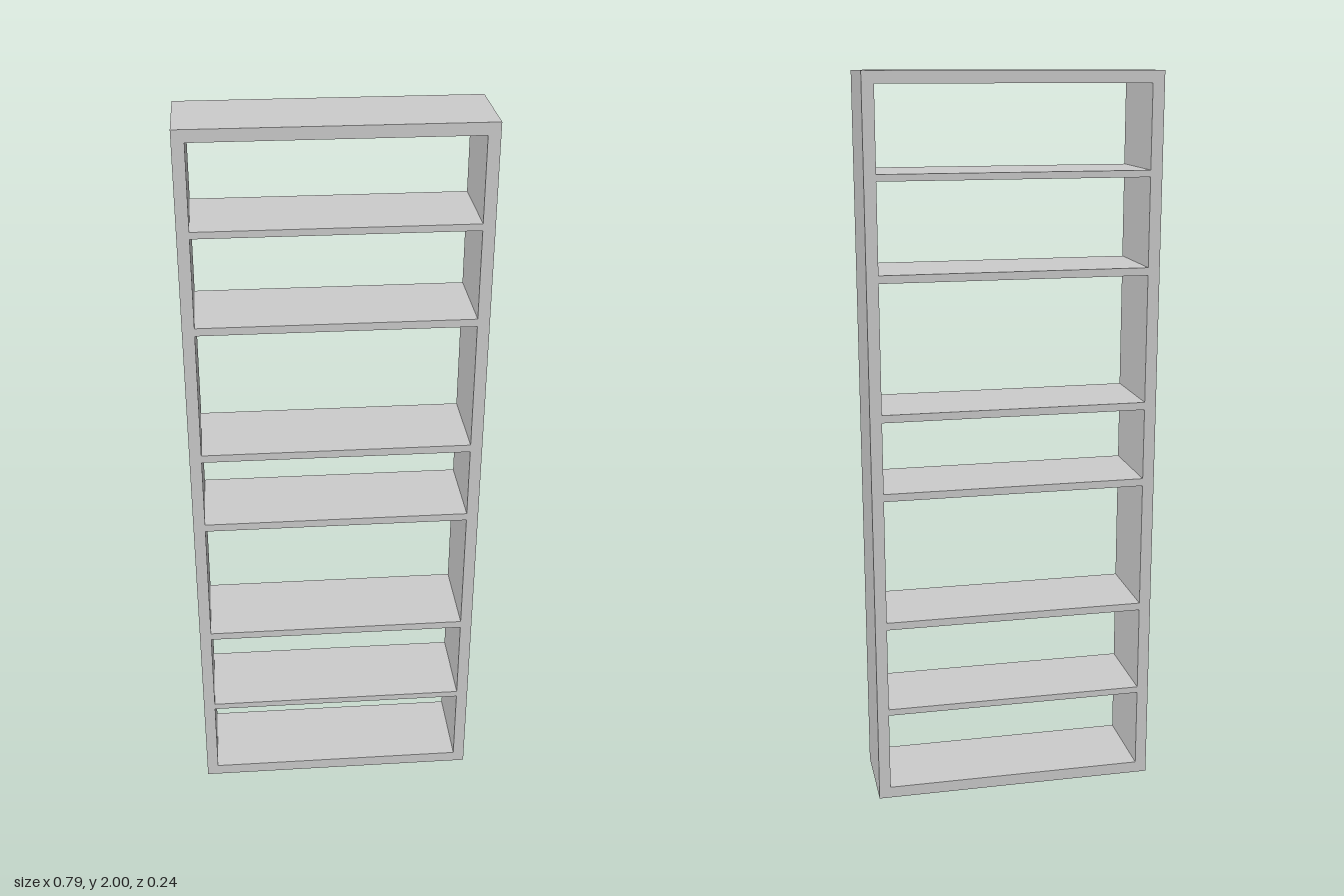
import * as THREE from 'three';

export function createModel() {
  const model = new THREE.Group();
  model.name = 'shelfUnit';
  const material = new THREE.MeshStandardMaterial({ color: 0xcccccc });

  const width = 0.787, height = 2, depth = 0.243, board = 0.032;
  const innerWidth = width - 2 * board;

  function addBoard(name, w, h, x, y) {
    const mesh = new THREE.Mesh(new THREE.BoxGeometry(w, h, depth), material);
    mesh.name = name;
    mesh.position.set(x, y, 0);
    model.add(mesh);
  }

  // Outer frame: two full-height sides with top and bottom boards between them
  for (const [side, s] of [['left', 1], ['right', -1]]) {
    addBoard(side + 'Side', board, height, s * (width - board) / 2, height / 2);
  }
  addBoard('bottomBoard', innerWidth, board, 0, board / 2);
  addBoard('topBoard', innerWidth, board, 0, height - board / 2);

  // Shelves, mirrored about mid-height; the outermost pair is made of two halves
  for (const [end, s] of [['upper', 1], ['lower', -1]]) {
    addBoard(end + 'InnerShelf', innerWidth, 0.021, 0, 1 + s * 0.109);
    addBoard(end + 'MiddleShelf', innerWidth, 0.021, 0, 1 + s * 0.479);
    for (const [half, h] of [['Left', 1], ['Right', -1]]) {
      addBoard(end + 'OuterShelf' + half, innerWidth / 2, 0.018, h * innerWidth / 4, 1 + s * 0.737);
    }
  }

  return model;
}
